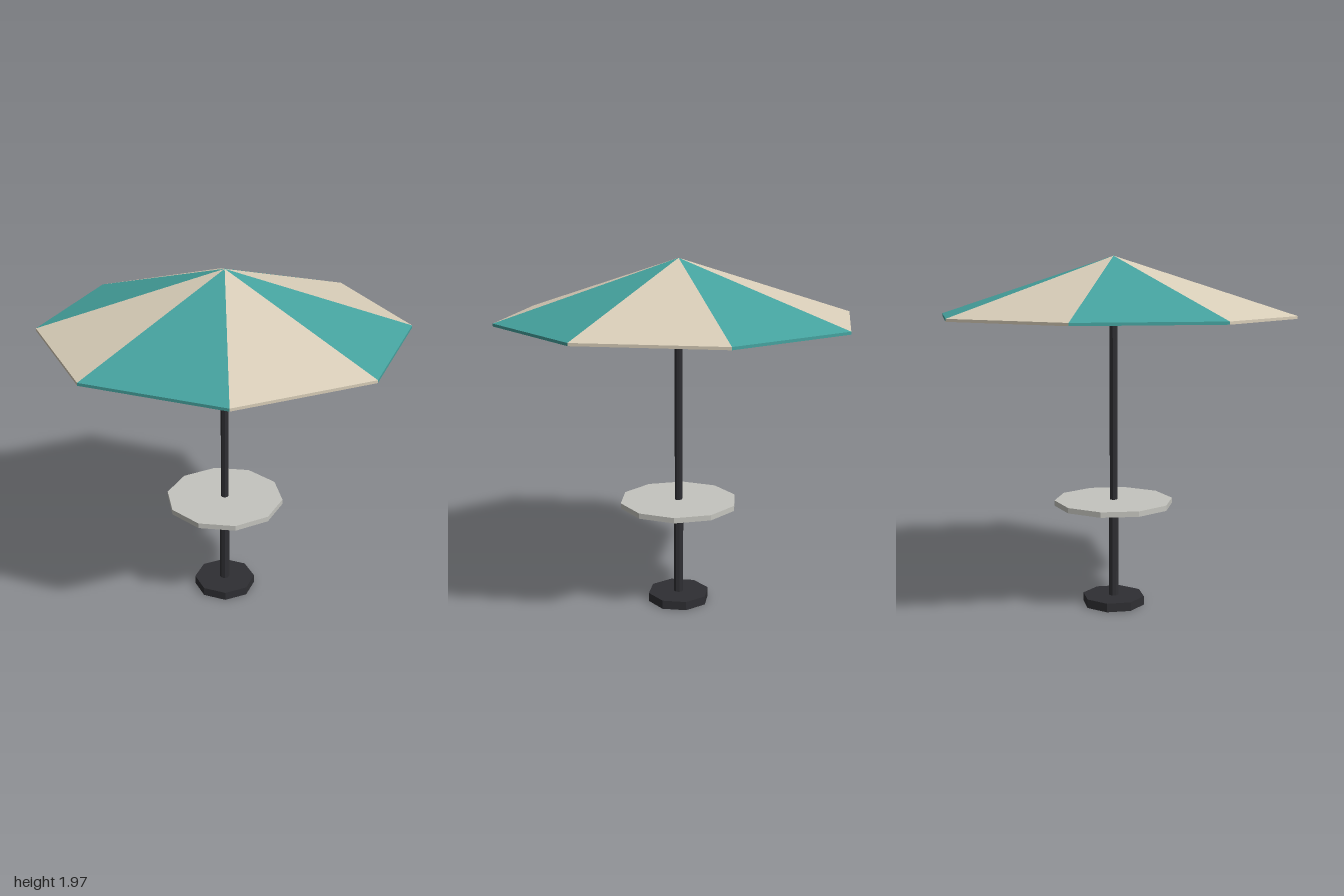
import * as THREE from 'three';

const material = (color) => new THREE.MeshStandardMaterial({ color, flatShading: true, side: THREE.DoubleSide });

export function createModel() {
  const group = new THREE.Group();
  const teal = material(0x45a29e), cream = material(0xd8cdb8);
  const stone = material(0xc4c4be), dark = material(0x2f2f33);

  function add(name, geometry, mat) {
    const mesh = new THREE.Mesh(geometry, mat);
    mesh.name = name;
    group.add(mesh);
  }

  // Upright faceted cylinder between two heights
  function disc(name, radius, bottom, top, sides, mat) {
    const geometry = new THREE.CylinderGeometry(radius, radius, top - bottom, sides);
    geometry.translate(0, (bottom + top) / 2, 0);
    add(name, geometry, mat);
  }

  disc('base', 0.177, 0, 0.05, 8, dark);
  disc('lowerPole', 0.028, 0.05, 0.58, 8, dark);
  disc('tableTop', 0.335, 0.58, 0.61, 10, stone);
  disc('upperPole', 0.022, 0.61, 1.845, 8, dark);

  // Canopy: eight thin wedge panels in alternating colours, open underneath
  const panels = 8, rimY = 1.65, apexY = 1.97, thickness = 0.015;
  const rim = (i, y) => {
    const a = (i / panels) * Math.PI * 2;
    return [Math.sin(a), y, Math.cos(a)];
  };
  for (let i = 0; i < panels; i++) {
    const apex = [0, apexY, 0], innerApex = [0, apexY - thickness, 0];
    const a = rim(i, rimY), b = rim(i + 1, rimY);
    const c = rim(i, rimY - thickness), d = rim(i + 1, rimY - thickness);
    const corners = [
      apex, a, b, // upper cloth
      innerApex, d, c, // underside
      a, c, d, a, d, b, // hem
    ];
    const geometry = new THREE.BufferGeometry();
    geometry.setAttribute('position', new THREE.Float32BufferAttribute(corners.flat(), 3));
    geometry.computeVertexNormals();
    add(`canopyPanel${i + 1}`, geometry, i % 2 ? cream : teal);
  }

  return group;
}
